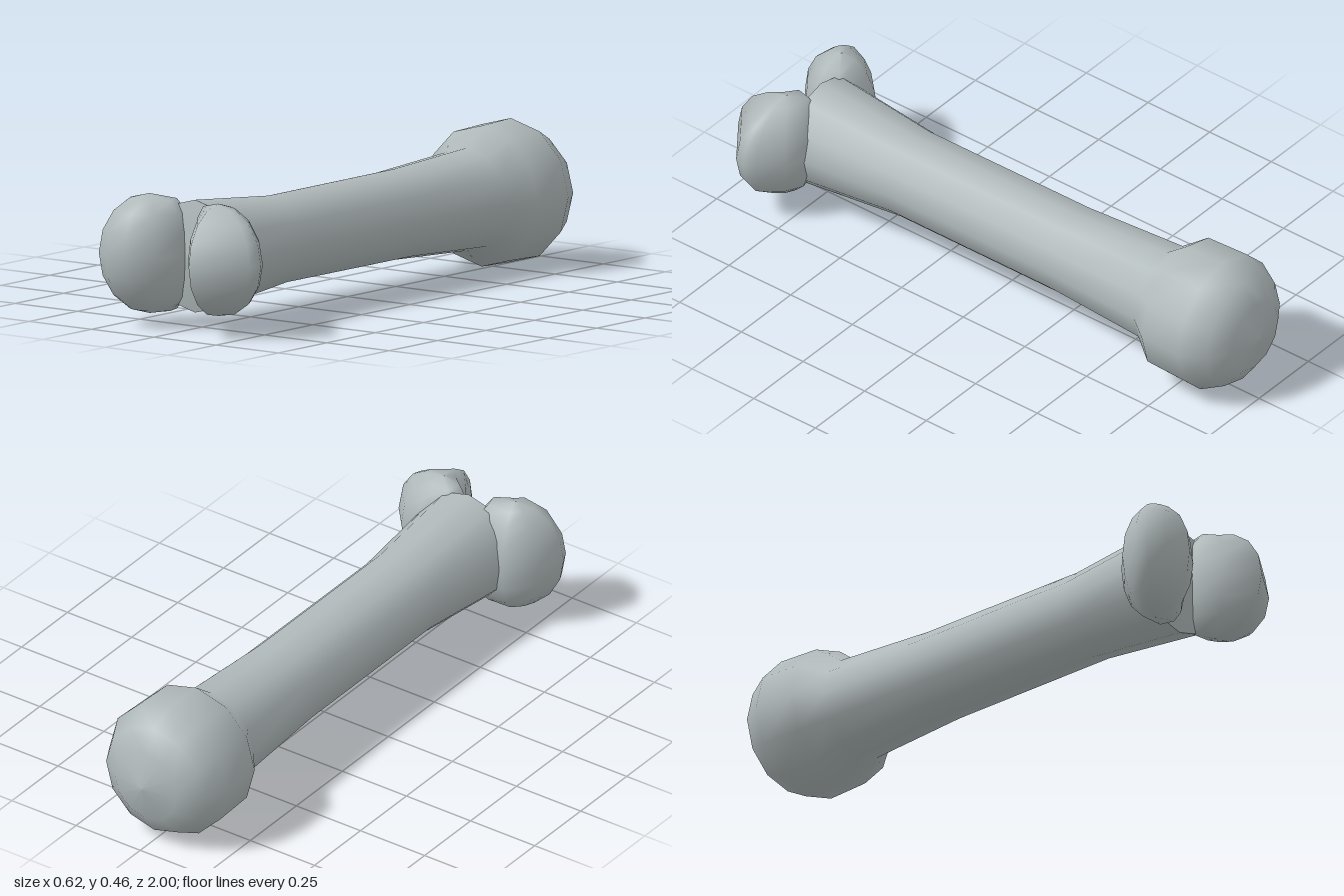
import * as THREE from 'three';

const boneGrey = new THREE.MeshStandardMaterial({ color: 0xb0b9ba });
boneGrey.name = 'bone grey';

function addPart(group, name, geometry) {
  const mesh = new THREE.Mesh(geometry, boneGrey);
  mesh.name = name;
  group.add(mesh);
  return mesh;
}

// Twelve-sided turned part along z; profile rows are [radius, z]
function turned(profile) {
  const points = profile.map(([r, z]) => new THREE.Vector2(r, z));
  return new THREE.LatheGeometry(points, 12).rotateX(Math.PI / 2).translate(-0.005, 0.234, 0);
}

// Rounded knuckle: a plan outline [x, z] shrinking elliptically above and below its middle
function knuckle(outline, cx, cz, cy, height) {
  const steps = 8, n = outline.length;
  const position = [], index = [];
  for (let i = 0; i <= steps; i++) {
    const angle = -Math.PI / 2 + (Math.PI * i) / steps;
    const s = Math.max(Math.cos(angle), 0.001);
    for (const [x, z] of outline) {
      // the side facing the groove stays steeper
      const k = Math.abs(x) < 0.05 ? Math.sqrt(s) : s;
      position.push(cx + (x - cx) * k, cy + height * Math.sin(angle), cz + (z - cz) * k);
    }
  }
  for (let i = 0; i < steps; i++) {
    for (let j = 0; j < n; j++) {
      const a = i * n + j, b = i * n + ((j + 1) % n);
      index.push(a, a + n, b, b, a + n, b + n);
    }
  }
  const geometry = new THREE.BufferGeometry();
  geometry.setAttribute('position', new THREE.Float32BufferAttribute(position, 3));
  geometry.setIndex(index);
  geometry.computeVertexNormals();
  return geometry;
}

export function createModel() {
  const bone = new THREE.Group();
  bone.name = 'bone';

  // Ball at the back running into the flared shaft
  addPart(bone, 'ballAndShaft', turned([
    [0, -1], [0.12, -0.978], [0.188, -0.93], [0.231, -0.85], [0.226, -0.7],
    [0.165, -0.62], [0.146, -0.25], [0.145, 0.4], [0.181, 0.78],
  ]));

  // Shallow end between the knuckles
  addPart(bone, 'shaftEnd', turned([[0.181, 0.78], [0.1, 0.8], [0, 0.81]]));

  // Two uneven knuckles at the front
  addPart(bone, 'leftKnuckle', knuckle([
    [0.04, 0.74], [0.15, 0.7], [0.23, 0.74], [0.29, 0.81], [0.31, 0.845],
    [0.295, 0.885], [0.14, 1], [0.06, 0.9], [0.02, 0.82],
  ], 0.12, 0.82, 0.24, 0.18));
  addPart(bone, 'rightKnuckle', knuckle([
    [-0.04, 0.74], [-0.02, 0.82], [-0.07, 0.9], [-0.15, 0.96], [-0.24, 0.945],
    [-0.29, 0.91], [-0.31, 0.87], [-0.27, 0.78], [-0.19, 0.7],
  ], -0.16, 0.82, 0.234, 0.192));

  return bone;
}
